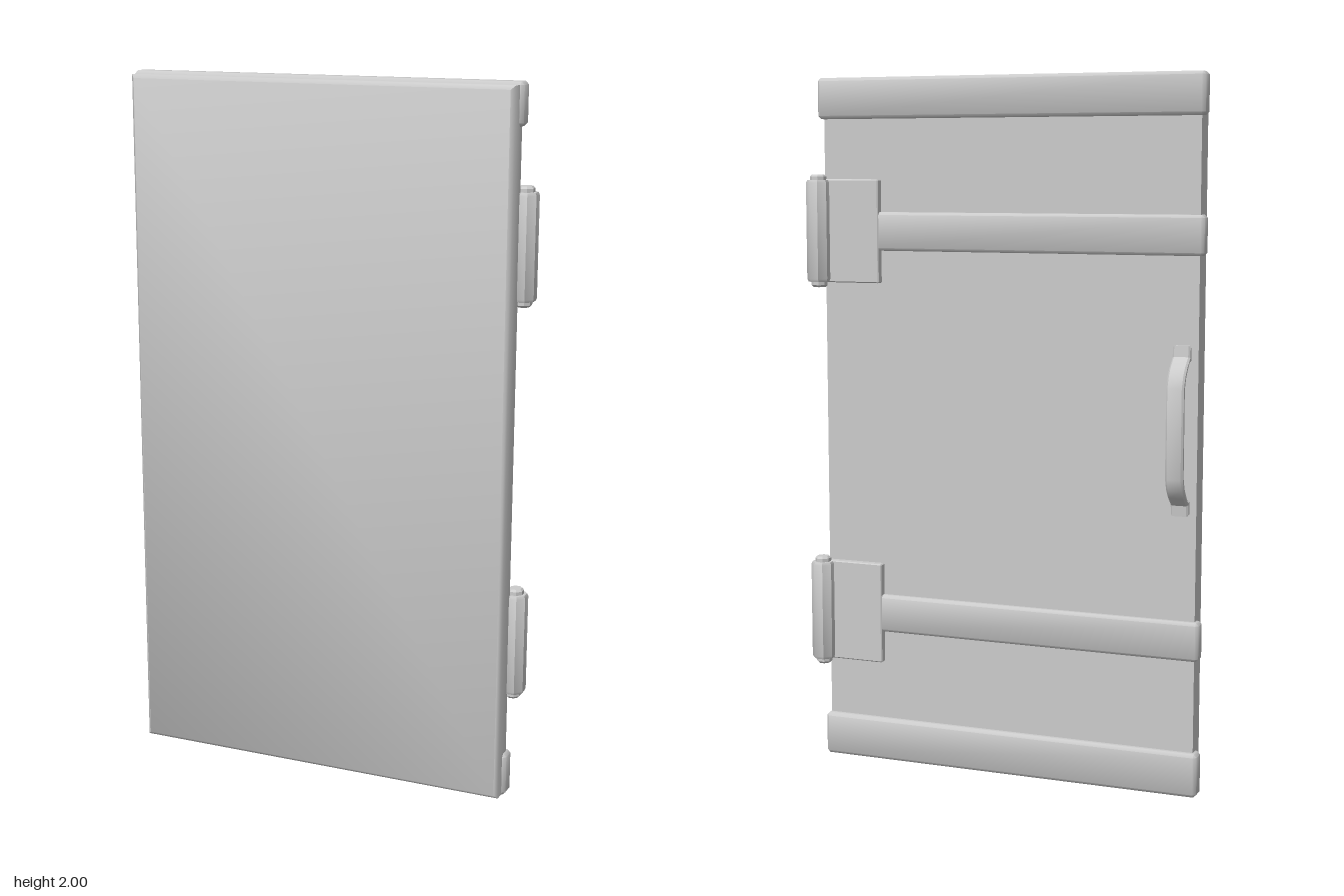
import * as THREE from 'three';
import { toCreasedNormals } from 'three/addons/utils/BufferGeometryUtils.js';
import { ConvexGeometry } from 'three/addons/geometries/ConvexGeometry.js';

const grey = new THREE.MeshStandardMaterial({ color: 0xcccccc });
const SOFT = THREE.MathUtils.degToRad(50);
const HARD = THREE.MathUtils.degToRad(30);

function part(name, geometry, crease) {
  const mesh = new THREE.Mesh(toCreasedNormals(geometry, crease), grey);
  mesh.name = name;
  return mesh;
}

// Box between two corners with every edge chamfered by c
function chamferBox(name, min, max, c, crease = SOFT) {
  const centre = min.map((v, i) => (v + max[i]) / 2);
  const half = min.map((v, i) => (max[i] - v) / 2);
  const points = [];
  for (const sx of [-1, 1]) for (const sy of [-1, 1]) for (const sz of [-1, 1])
    for (let face = 0; face < 3; face++) {
      const p = [sx, sy, sz].map((s, i) => centre[i] + s * (half[i] - (i === face ? 0 : c)));
      points.push(new THREE.Vector3(...p));
    }
  return part(name, new ConvexGeometry(points), crease);
}

// Door slab: square back, chamfered front edge
function doorPanel() {
  const c = 0.01, points = [];
  for (const [inset, z] of [[0, 0.003], [0, 0.075 - c], [c, 0.075]])
    for (const x of [-0.575 + inset, 0.548 - inset])
      for (const y of [0.004 + inset, 1.992 - inset])
        points.push(new THREE.Vector3(x, y, z));
  return part('doorPanel', new ConvexGeometry(points), SOFT);
}

// Hinge: octagonal barrel with stepped, tapered caps, plus a flat leaf and a strap
function hinge(y) {
  const group = new THREE.Group();
  group.name = 'hinge';
  const h = 0.15;
  const profile = [
    [0, -h - 0.012], [0.019, -h - 0.012], [0.025, -h - 0.006], [0.025, -h + 0.004],
    [0.034, -h + 0.004], [0.038, -h + 0.012],
    [0.038, h - 0.012], [0.034, h - 0.004],
    [0.025, h - 0.004], [0.025, h + 0.006], [0.019, h + 0.012], [0, h + 0.012],
  ].map(([r, v]) => new THREE.Vector2(r, v));
  const barrelGeometry = new THREE.LatheGeometry(profile, 8);
  barrelGeometry.rotateY(Math.PI / 8);
  const barrel = part('hingeBarrel', barrelGeometry, HARD);
  barrel.scale.x = 0.92;
  barrel.position.set(0.556, y, -0.025);
  group.add(barrel);
  group.add(chamferBox('hingeLeaf', [0.37, y - 0.148, -0.02], [0.55, y + 0.148, 0.01], 0.003, HARD));
  group.add(chamferBox('hingeStrap', [-0.59, y - 0.055, -0.017], [0.4, y + 0.055, 0.03], 0.008));
  return group;
}

// Pull handle: bent bar with a foot at each end, extruded across its width
function handle() {
  const upper = [
    [-0.005, 0.19], [-0.005, 0.235], [0.013, 0.235], [0.016, 0.205],
    [0.045, 0.18], [0.062, 0.158], [0.075, 0.125],
  ];
  const inner = [[0.057, 0.12], [0.047, 0.148], [0.034, 0.166], [0.012, 0.19]];
  const flip = (list) => list.map(([u, v]) => [u, -v]).reverse();
  const outline = [...upper, ...flip(upper), ...flip(inner), ...inner];
  const shape = new THREE.Shape(outline.map(([u, v]) => new THREE.Vector2(u, v)));
  const bevel = 0.005, width = 0.05;
  const geometry = new THREE.ExtrudeGeometry(shape, {
    depth: width - 2 * bevel, bevelEnabled: true, bevelSegments: 1,
    bevelThickness: bevel, bevelSize: bevel, bevelOffset: -bevel,
  });
  geometry.rotateY(Math.PI / 2);
  geometry.translate(-0.556 + bevel, 1.032, 0);
  return part('handle', geometry, HARD);
}

export function createModel() {
  const door = new THREE.Group();
  door.name = 'door';
  door.add(doorPanel());
  // Rails across the top and bottom of the back
  door.add(chamferBox('topRail', [-0.59, 1.884, -0.024], [0.558, 2, 0.029], 0.009));
  door.add(chamferBox('bottomRail', [-0.59, 0, -0.018], [0.558, 0.125, 0.036], 0.009));
  for (const y of [0.445, 1.565]) door.add(hinge(y));
  door.add(handle());
  return door;
}
